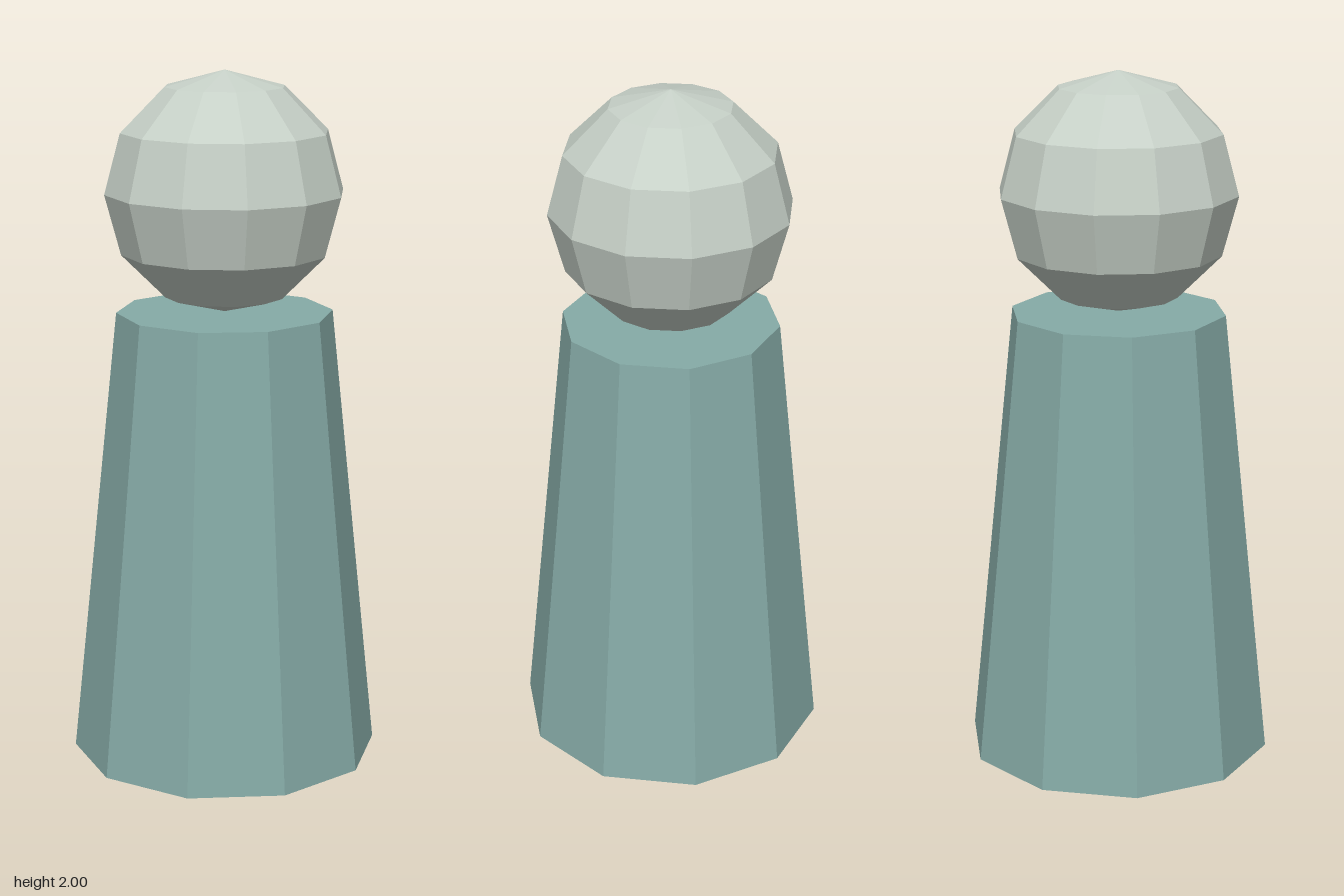
import * as THREE from 'three';

export function createModel() {
  const bodyTeal = new THREE.MeshStandardMaterial({ color: 0x86aba7, flatShading: true });
  bodyTeal.name = 'bodyTeal';
  const headGrey = new THREE.MeshStandardMaterial({ color: 0xc6d0c7, flatShading: true });
  headGrey.name = 'headGrey';

  const model = new THREE.Group();
  model.name = 'pawnFigure';

  const bodyHeight = 1.313;
  const headRadius = 0.3435;

  // Ten-sided tapering body, with a corner facing the front
  const body = new THREE.Mesh(
    new THREE.CylinderGeometry(0.311, 0.447, bodyHeight, 10), bodyTeal);
  body.name = 'body';
  body.position.y = bodyHeight / 2;

  // Faceted ball head resting on the body
  const head = new THREE.Mesh(new THREE.SphereGeometry(headRadius, 12, 6), headGrey);
  head.name = 'head';
  head.position.y = bodyHeight + headRadius;

  model.add(body, head);
  return model;
}
